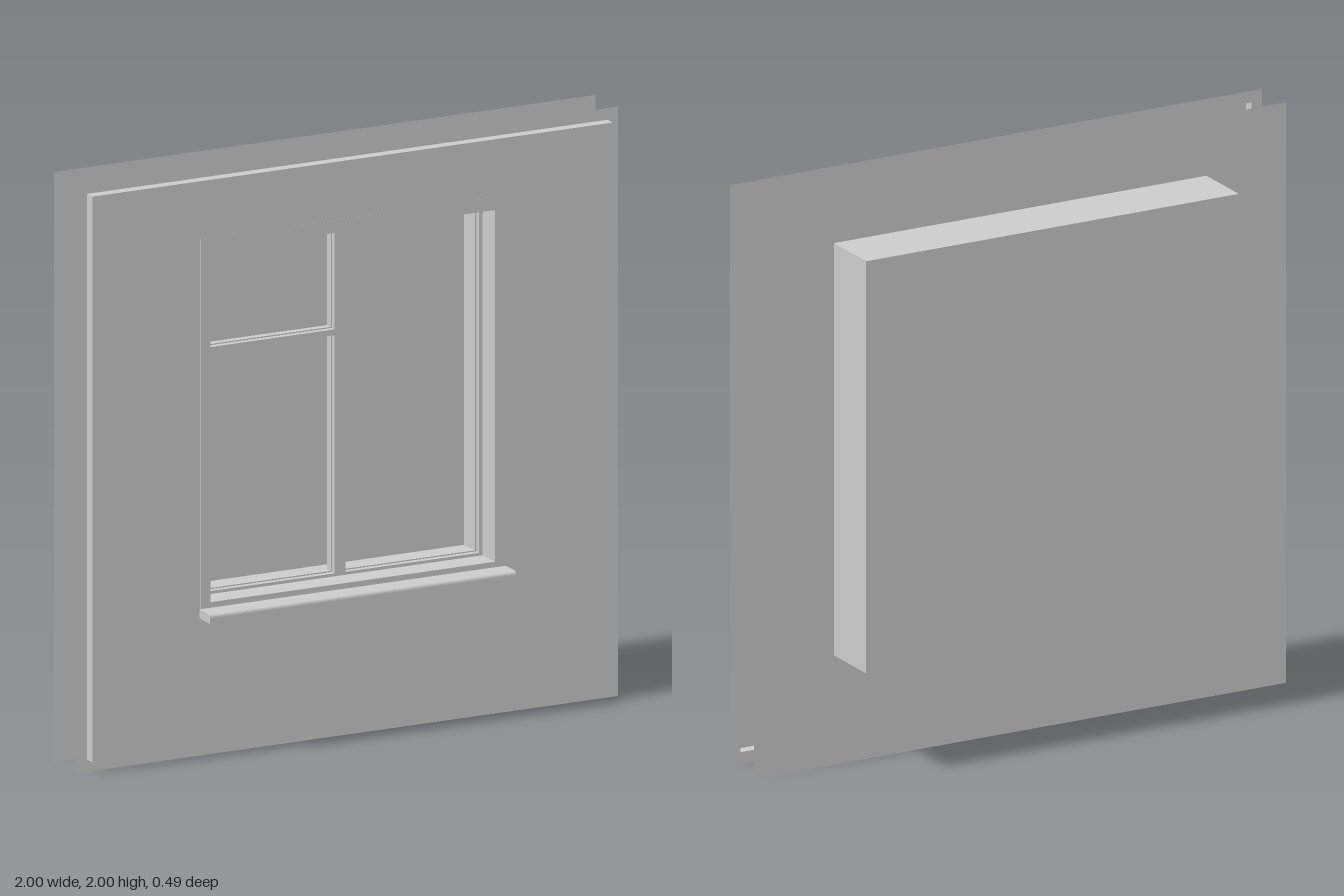
import * as THREE from 'three';

const material = new THREE.MeshStandardMaterial({ color: 0xcccccc, side: THREE.DoubleSide, flatShading: true });

// Rectangles are given as [x0, x1, y0, y1]
function rectPath(Type, [x0, x1, y0, y1]) {
  const p = new Type();
  p.moveTo(x0, y0);
  p.lineTo(x1, y0);
  p.lineTo(x1, y1);
  p.lineTo(x0, y1);
  p.closePath();
  return p;
}

function ringShape(outer, inner) {
  const shape = rectPath(THREE.Shape, outer);
  if (inner) shape.holes.push(rectPath(THREE.Path, inner));
  return shape;
}

export function createModel() {
  const group = new THREE.Group();
  const add = (name, geometry) => {
    const mesh = new THREE.Mesh(geometry, material);
    mesh.name = name;
    group.add(mesh);
    return mesh;
  };
  // Flat sheet at depth z, with an optional opening
  const sheet = (name, z, outer, inner) =>
    add(name, new THREE.ShapeGeometry(ringShape(outer, inner)).translate(0, 0, z));
  // Solid rectangular ring or bar between z0 and z1
  const frame = (name, z0, z1, outer, inner) =>
    add(name, new THREE.ExtrudeGeometry(ringShape(outer, inner), { depth: z1 - z0, bevelEnabled: false })
      .translate(0, 0, z0));

  const wall = [-1, 1, 0, 2];
  const raised = [-0.96, 0.96, 0.04, 1.96];
  const casing = [-0.562, 0.562, 0.487, 1.763];
  const opening = [-0.525, 0.525, 0.527, 1.72];
  const clear = [-0.513, 0.513, 0.537, 1.71];
  const housing = [-0.7, 0.7, 0.377, 1.797];
  const backZ = -0.028, frontZ = 0.167, stepZ = 0.13;

  // Thin front wall: flat border, stepped edge and raised face, hollow behind
  sheet('frontWallBorder', stepZ, wall, raised);
  sheet('frontWallFace', frontZ, raised, opening);
  const edgeDepth = frontZ - stepZ, edgeZ = (frontZ + stepZ) / 2;
  for (const s of [-1, 1]) {
    add('frontWallSideEdge', new THREE.PlaneGeometry(edgeDepth, 1.92)
      .rotateY(s * Math.PI / 2).translate(s * 0.96, 1, edgeZ));
    add('frontWallLevelEdge', new THREE.PlaneGeometry(1.92, edgeDepth)
      .rotateX(-s * Math.PI / 2).translate(0, 1 + s * 0.96, edgeZ));
  }

  // Back wall sheet and the closed housing behind the window
  sheet('backWall', backZ, wall);
  frame('housingFront', backZ, 0.033, housing, opening);
  frame('housingBack', -0.243, backZ - 0.001, housing);

  // Casing round the opening and the window frame set into it
  frame('casing', 0.033, 0.1675, casing, opening);
  frame('windowFrame', backZ, 0.08, opening, clear);

  // Mullion and transom
  frame('mullion', 0.035, 0.08, [-0.02, 0.02, clear[2], clear[3]]);
  frame('transom', 0.035, 0.08, [clear[0], -0.02, 1.345, 1.365]);

  // Slim bead round each of the three panes
  const panes = [
    [clear[0], -0.02, clear[2], 1.345],
    [clear[0], -0.02, 1.365, clear[3]],
    [0.02, clear[1], clear[2], clear[3]],
  ];
  const b = 0.004;
  for (const p of panes)
    frame('paneBead', 0.035, 0.06, p, [p[0] + b, p[1] - b, p[2] + b, p[3] - b]);

  // Sill with a rounded upper front edge; profile drawn as (z, y)
  const sill = new THREE.Shape();
  sill.moveTo(frontZ, 0.477);
  sill.lineTo(0.242, 0.477);
  sill.lineTo(0.242, 0.495);
  sill.quadraticCurveTo(0.242, 0.508, 0.226, 0.508);
  sill.lineTo(frontZ, 0.508);
  sill.closePath();
  add('sill', new THREE.ExtrudeGeometry(sill, { depth: 1.13, bevelEnabled: false, curveSegments: 4 })
    .rotateY(-Math.PI / 2).translate(0.565, 0, 0));

  return group;
}
